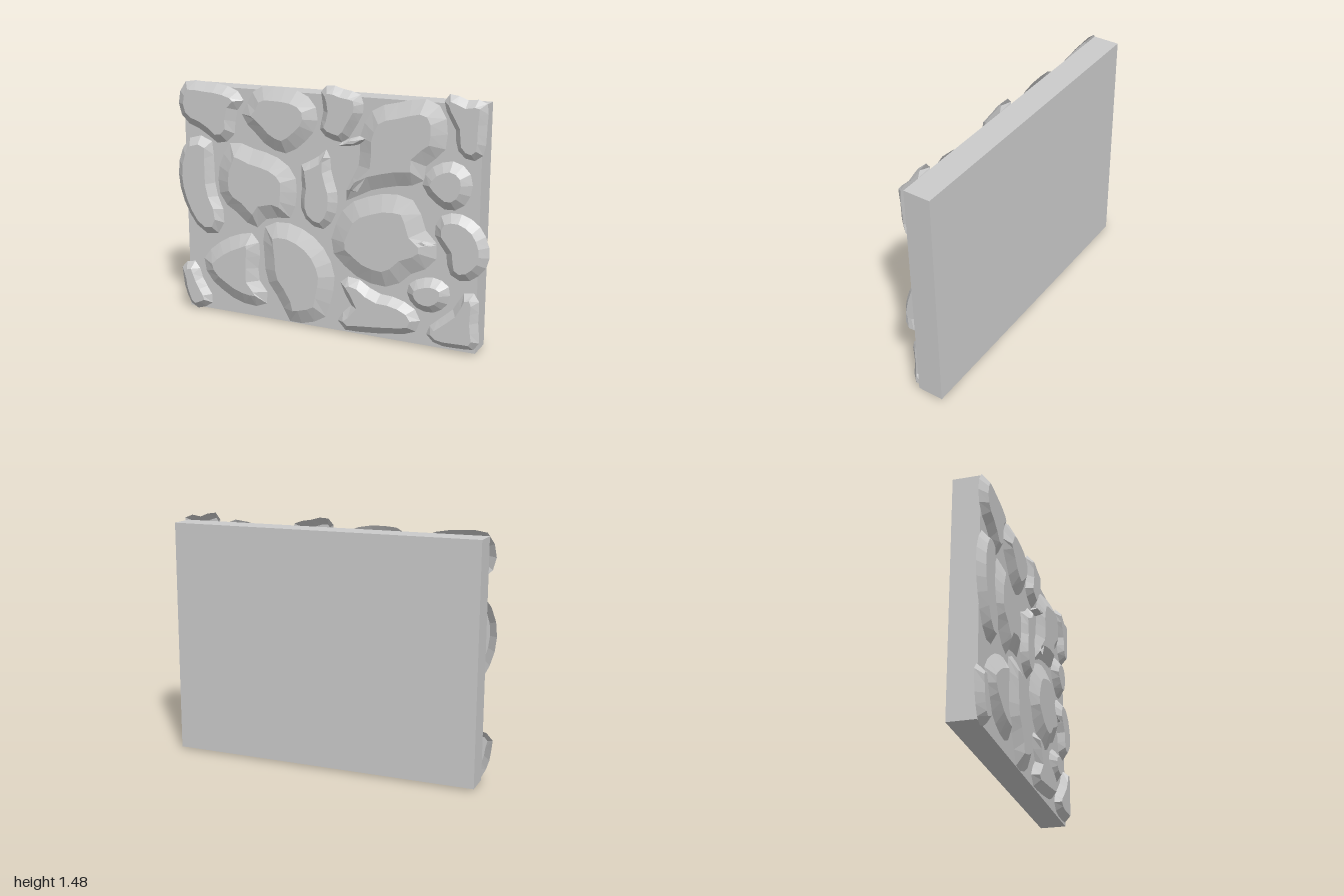
import * as THREE from 'three';

const BASE_Z = 0.06, TOP_Z = 0.1;
const material = new THREE.MeshStandardMaterial({ color: 0xcccccc, flatShading: true });
const stoneMaterial = new THREE.MeshStandardMaterial({ color: 0xcccccc, flatShading: true, side: THREE.DoubleSide });

// Flat-topped stone: a clockwise outline on the wall, bevelled inward to a smaller raised face.
function makeStone(name, inset, outline, sides = 18) {
  const controls = [];
  for (let i = outline.length - 2; i >= 0; i -= 2) controls.push(new THREE.Vector3(outline[i], outline[i + 1], 0));
  const curve = new THREE.CatmullRomCurve3(controls, true, 'centripetal');
  const base = curve.getSpacedPoints(sides).slice(0, sides);
  const centre = base.reduce((sum, p) => sum.add(p), new THREE.Vector3()).divideScalar(sides);

  // Inward direction: between the edge normal and the line to the centre
  const top = base.map((p, i) => {
    const along = base[(i + 1) % sides].clone().sub(base[(i + sides - 1) % sides]).normalize();
    const toCentre = centre.clone().sub(p);
    const step = Math.min(inset, toCentre.length() * 0.5);
    const inward = new THREE.Vector3(-along.y, along.x, 0).multiplyScalar(2).add(toCentre.normalize()).normalize();
    return p.clone().addScaledVector(inward, step);
  });

  const positions = [], index = [];
  base.forEach(p => positions.push(p.x, p.y, BASE_Z));
  top.forEach(p => positions.push(p.x, p.y, TOP_Z));
  for (let i = 0; i < sides; i++) {
    const j = (i + 1) % sides;
    index.push(i, j, sides + j, i, sides + j, sides + i);
  }
  const face = top.map(p => new THREE.Vector2(p.x, p.y));
  for (const [a, b, c] of THREE.ShapeUtils.triangulateShape(face, [])) index.push(sides + a, sides + b, sides + c);

  const geometry = new THREE.BufferGeometry();
  geometry.setAttribute('position', new THREE.Float32BufferAttribute(positions, 3));
  geometry.setIndex(index);
  geometry.computeVertexNormals();
  const mesh = new THREE.Mesh(geometry, stoneMaterial);
  mesh.name = name;
  return mesh;
}

export function createModel() {
  const group = new THREE.Group();
  group.name = 'stoneWall';

  // Plain backing slab
  const slab = new THREE.Mesh(new THREE.BoxGeometry(1.885, 1.41, 0.16), material);
  slab.position.set(-0.005, 0.72, -0.02);
  slab.name = 'wallSlab';
  group.add(slab);

  const stones = new THREE.Group();
  stones.name = 'stones';
  group.add(stones);
  const add = (...args) => stones.add(makeStone(...args));

  // Top row
  add('topRightCornerStone', 0.055, [-.94, 1.44, -.79, 1.45, -.63, 1.43, -.53, 1.37, -.59, 1.27, -.6, 1.15,
    -.7, 1.08, -.82, 1.15, -.95, 1.21, -.99, 1.31]);
  add('topRoundStone', 0.08, [-.45, 1.43, -.29, 1.45, -.16, 1.43, -.07, 1.37, -.05, 1.25, -.13, 1.14,
    -.26, 1.06, -.4, 1.11, -.48, 1.19, -.55, 1.25, -.51, 1.34]);
  add('topMiddleStone', 0.045, [-.02, 1.46, .05, 1.48, .13, 1.46, .22, 1.44, .24, 1.35, .19, 1.25,
    .12, 1.16, .04, 1.17, -.03, 1.21, -.01, 1.33]);
  add('topLargeStone', 0.085, [.3, 1.36, .45, 1.41, .62, 1.44, .71, 1.39, .74, 1.26, .71, 1.13, .63, 1.1,
    .6, .97, .46, .94, .3, .9, .12, .82, .17, .95, .22, 1.06, .22, 1.2], 24);
  add('topLeftCornerStone', 0.04, [.72, 1.46, .78, 1.48, .83, 1.45, .95, 1.45, .96, 1.3, .94, 1.15,
    .87, 1.12, .79, 1.19, .79, 1.27, .73, 1.38]);

  // Middle row
  add('middleLongStone', 0.05, [-.93, 1.09, -.84, 1.12, -.76, 1.09, -.75, .98, -.74, .79, -.69, .66,
    -.7, .55, -.77, .5, -.86, .53, -.94, .63, -1, .79, -1, .95]);
  add('middleRoundStone', 0.09, [-.62, 1.1, -.47, 1.07, -.31, 1.03, -.2, .94, -.19, .79, -.23, .67,
    -.37, .66, -.47, .58, -.59, .66, -.7, .74, -.72, .9, -.68, 1.02], 20);
  add('middleNarrowStone', 0.045, [-.15, 1.01, -.07, 1.04, .02, 1.11, .04, .98, .08, .84, .06, .71,
    -.01, .63, -.11, .66, -.16, .75, -.15, .87]);
  add('middleLargeStone', 0.1, [.14, .79, .28, .86, .43, .89, .57, .85, .62, .71, .69, .64, .68, .51,
    .54, .43, .43, .34, .25, .35, .13, .42, .04, .52, .07, .67], 20);
  add('middleSmallStone', 0.055, [.65, 1.06, .78, 1.11, .87, 1.06, .89, .96, .84, .86, .75, .83,
    .65, .89, .6, .96], 14);
  add('middleEdgeStone', 0.05, [.71, .79, .82, .82, .94, .76, 1, .63, .98, .52, .86, .43, .77, .47,
    .75, .58, .68, .68]);

  // Bottom row
  add('bottomRightCornerStone', 0.045, [-1, .28, -.9, .31, -.85, .2, -.78, .07, -.84, .02, -.92, .005,
    -.98, .1, -1, .2], 14);
  add('bottomWideStone', 0.08, [-.76, .43, -.63, .51, -.47, .54, -.44, .39, -.46, .28, -.38, .15,
    -.42, .09, -.58, .09, -.71, .15, -.81, .23, -.84, .34]);
  add('bottomTallStone', 0.09, [-.4, .6, -.26, .64, -.1, .59, 0, .5, .06, .36, .04, .2, -.01, .07,
    -.13, .03, -.22, .005, -.31, .15, -.39, .26, -.41, .42], 20);
  add('bottomLowStone', 0.05, [.1, .34, .2, .36, .33, .29, .48, .27, .6, .19, .58, .09, .43, .05,
    .25, .03, .12, .03, .08, .1, .17, .18, .13, .25], 20);
  add('bottomSmallStone', 0.05, [.54, .38, .68, .43, .77, .39, .77, .29, .68, .22, .57, .24, .52, .32], 14);
  add('bottomLeftCornerStone', 0.04, [.87, .37, .94, .36, .95, .2, .95, .05, .84, .03, .69, .04,
    .64, .1, .72, .19, .8, .26]);

  // Thin chips between the larger stones
  add('upperChip', 0.02, [.08, 1.14, .2, 1.2, .28, 1.2, .2, 1.15], 8);
  add('lowerChip', 0.02, [.55, .63, .61, .65, .69, .62, .62, .61], 8);

  return group;
}
